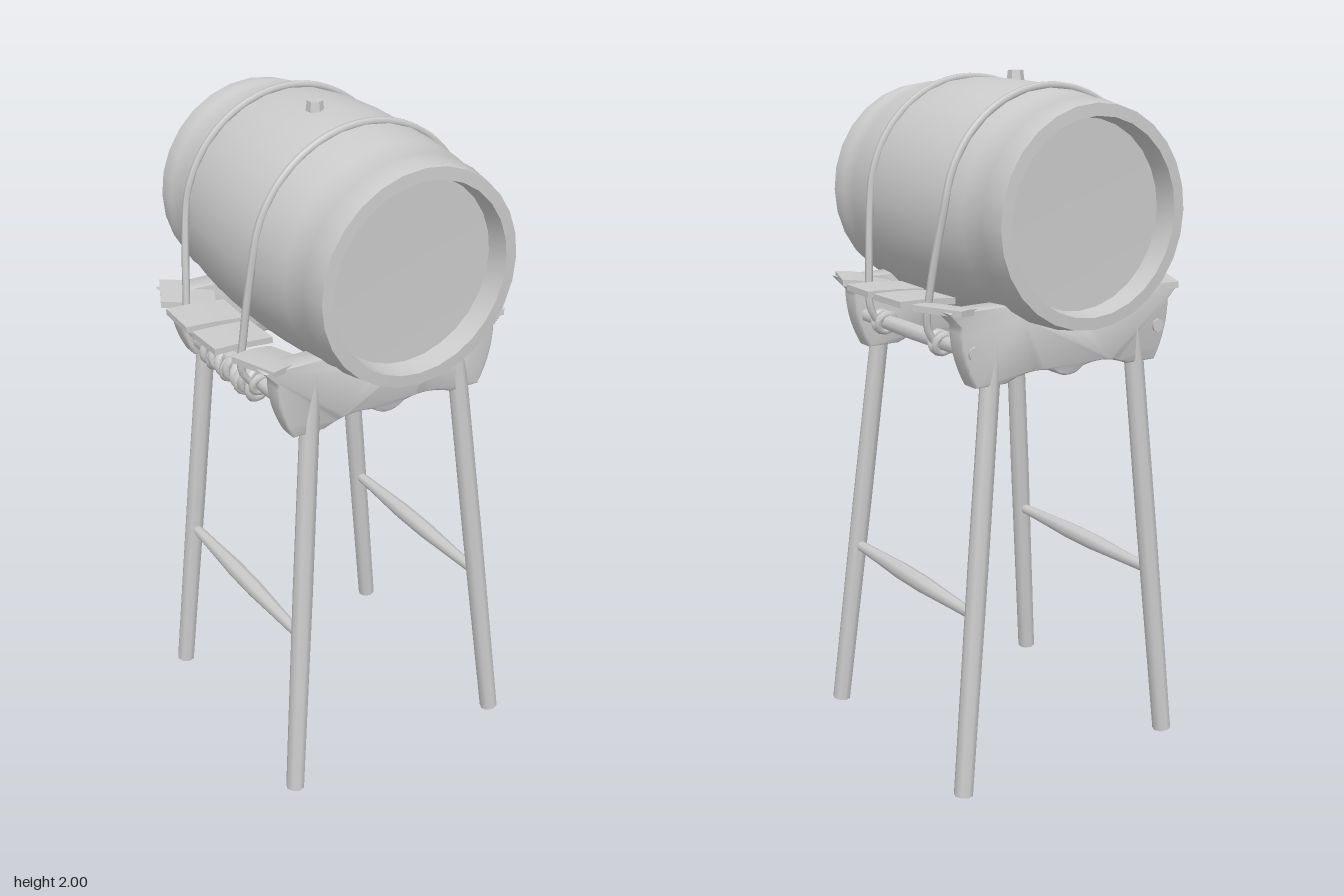
import * as THREE from 'three';
import { toCreasedNormals } from 'three/addons/utils/BufferGeometryUtils.js';

const grey = new THREE.MeshStandardMaterial({ color: 0xcccccc });
const V = (x, y, z) => new THREE.Vector3(x, y, z);
const AXIS_Y = 1.635; // height of the barrel's axis

export function createModel() {
  const model = new THREE.Group();
  model.name = 'barrelOnStand';

  const add = (name, geometry, parent = model) => {
    const mesh = new THREE.Mesh(geometry, grey);
    mesh.name = name;
    parent.add(mesh);
    return mesh;
  };

  // Round bar between two points; radii are spread evenly from a to b
  const bar = (name, a, b, radii, sides = 8) => {
    const length = a.distanceTo(b);
    const points = radii.map((r, i) => new THREE.Vector2(r, (i / (radii.length - 1) - 0.5) * length));
    points.unshift(new THREE.Vector2(0, -length / 2));
    points.push(new THREE.Vector2(0, length / 2));
    const mesh = add(name, toCreasedNormals(new THREE.LatheGeometry(points, sides), 0.9));
    mesh.position.copy(a).lerp(b, 0.5);
    mesh.quaternion.setFromUnitVectors(V(0, 1, 0), b.clone().sub(a).normalize());
    return mesh;
  };

  // Barrel: bulging staves, shallow end bands and recessed heads
  const half = [[0.345, 0], [0.342, 0.1], [0.335, 0.2], [0.324, 0.3], [0.312, 0.375],
    [0.316, 0.385], [0.304, 0.455], [0.27, 0.457], [0.262, 0.39], [0, 0.385]];
  const profile = [...half.slice(1).reverse().map(([r, z]) => [r, -z]), ...half]
    .map(([r, z]) => new THREE.Vector2(r, z));
  const barrel = add('barrel', toCreasedNormals(new THREE.LatheGeometry(profile, 28), 0.6));
  barrel.rotation.x = Math.PI / 2;
  barrel.position.y = AXIS_Y;

  // Bung on top
  const bung = add('bung', toCreasedNormals(new THREE.CylinderGeometry(0.022, 0.028, 0.05, 6), 0.5));
  bung.position.set(-0.05, 1.975, 0);

  // Ropes over the barrel, tied down to the side rails
  for (const [topZ, endZ, r] of [[0.165, 0.14, 0.341], [-0.235, -0.18, 0.337]]) {
    const points = [V(0.335, 1.28, endZ), V(0.362, 1.33, endZ), V(0.36, 1.45, endZ * 0.7 + topZ * 0.3)];
    for (let i = 0; i <= 16; i++) {
      const t = THREE.MathUtils.degToRad(8 + i * 10.25);
      points.push(V(Math.cos(t) * r, AXIS_Y + Math.sin(t) * r, topZ));
    }
    points.push(V(-0.365, 1.45, endZ * 0.7 + topZ * 0.3), V(-0.37, 1.33, endZ), V(-0.335, 1.28, endZ));
    add('rope', new THREE.TubeGeometry(new THREE.CatmullRomCurve3(points), 70, 0.011, 6));
  }

  // Saddle boards: scalloped below, hollowed above for the barrel
  const saddle = new THREE.Shape();
  saddle.moveTo(0.21, 1.4);
  saddle.lineTo(0.39, 1.4);
  saddle.lineTo(0.35, 1.36);
  saddle.quadraticCurveTo(0.35, 1.27, 0.305, 1.19);
  saddle.lineTo(0.21, 1.19);
  saddle.quadraticCurveTo(0.13, 1.225, 0.05, 1.205);
  saddle.quadraticCurveTo(0, 1.165, -0.05, 1.205);
  saddle.quadraticCurveTo(-0.13, 1.225, -0.21, 1.19);
  saddle.lineTo(-0.305, 1.19);
  saddle.quadraticCurveTo(-0.35, 1.27, -0.35, 1.36);
  saddle.lineTo(-0.39, 1.4);
  saddle.lineTo(-0.21, 1.4);
  const start = Math.atan2(1.4 - AXIS_Y, -0.21);
  saddle.absarc(0, AXIS_Y, Math.hypot(0.21, AXIS_Y - 1.4), start, -Math.PI - start, false);
  const saddleGeometry = toCreasedNormals(new THREE.ExtrudeGeometry(saddle, {
    depth: 0.05, bevelEnabled: true, bevelSize: 0.005, bevelThickness: 0.008, bevelSegments: 2, curveSegments: 10,
  }), 0.8);
  add('frontSaddle', saddleGeometry).position.z = 0.255;
  add('backSaddle', saddleGeometry).position.z = -0.335;

  // Bent plank: tips toward the outer edge
  const plankGeometry = (width, depth, sag) => {
    const g = new THREE.BoxGeometry(width, 0.018, depth, 4, 1, 1);
    const p = g.attributes.position;
    for (let i = 0; i < p.count; i++) {
      const u = p.getX(i) / width + 0.5;
      p.setY(i, p.getY(i) - sag * (1 - u) ** 2);
    }
    g.computeVertexNormals();
    return g;
  };

  for (const side of [1, -1]) {
    const label = side > 0 ? 'left' : 'right';
    const legTop = side > 0 ? 0.232 : -0.235;
    const legFoot = side > 0 ? 0.38 : -0.352;

    // Splayed legs
    bar(label + 'FrontLeg', V(legFoot, 0, 0.367), V(legTop, 1.36, 0.285), [0.028, 0.03, 0.028]);
    bar(label + 'BackLeg', V(legFoot, 0, -0.375), V(legTop, 1.36, -0.312), [0.028, 0.03, 0.028]);

    // Spindle stretcher between front and back legs
    const sx = THREE.MathUtils.lerp(legFoot, legTop, 0.53 / 1.36);
    bar(label + 'Stretcher', V(sx, 0.53, 0.33), V(sx, 0.53, -0.345), [0.015, 0.02, 0.026, 0.026, 0.02, 0.015]);

    // Upper rail under the planks
    bar(label + 'Rail', V(side * 0.315, 1.285, 0.28), V(side * 0.315, 1.285, -0.35), [0.02, 0.025, 0.02]);

    // Planks along the side, the end ones turned around the corners
    for (const [x, z, width, depth, turn, sag] of [[0.355, -0.1, 0.18, 0.14, 0.04, 0.01],
      [0.355, 0.062, 0.18, 0.13, -0.02, 0.01], [0.33, -0.262, 0.16, 0.16, 0.42, 0.03],
      [0.325, 0.232, 0.16, 0.15, -0.34, 0.03]]) {
      const plank = add(label + 'Plank', plankGeometry(width, depth, sag));
      plank.position.set(side * x, 1.402, z);
      plank.rotation.y = side > 0 ? turn : Math.PI - turn;
    }

    // Knots where the ropes meet the rail
    for (const z of [0.14, -0.18]) {
      for (let i = 0; i < 2; i++) {
        const knot = add(label + 'Knot', new THREE.TorusGeometry(0.027, 0.012, 6, 12));
        knot.position.set(side * 0.318, 1.283, z + (i - 0.5) * 0.022);
        knot.rotation.x = (i - 0.5) * 0.5;
      }
    }
  }

  // Spare rope wound around the right rail
  const coil = new THREE.Group();
  coil.name = 'ropeCoil';
  for (let i = 0; i < 10; i++) {
    const loop = add('ropeLoop', new THREE.TorusGeometry(0.033, 0.014, 6, 14), coil);
    loop.position.set(-0.315, 1.263 + 0.006 * Math.sin(i * 2.1), 0.125 - i * 0.029);
    loop.rotation.set(0.2 * Math.sin(i * 1.7), 0.25 * Math.cos(i * 2.3), 0);
  }
  model.add(coil);

  return model;
}
